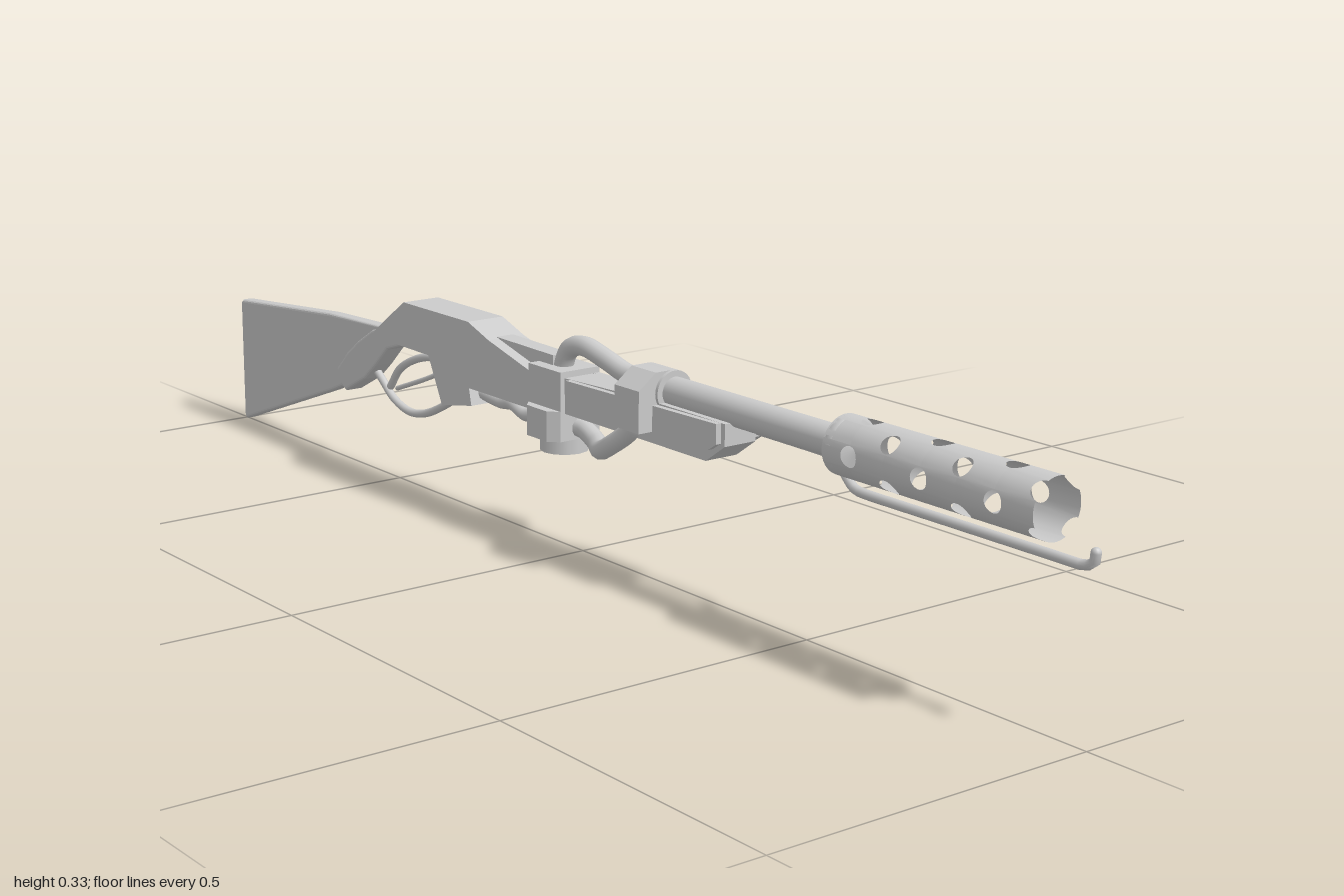
import * as THREE from 'three';

const CX = 0.005, AXIS_Y = 0.285; // barrel axis
const grey = new THREE.MeshStandardMaterial({ color: 0xcccccc });
const thin = new THREE.MeshStandardMaterial({ color: 0xcccccc, side: THREE.DoubleSide });

export function createModel() {
  const model = new THREE.Group();
  const add = (name, geo, mat = grey) => {
    const mesh = new THREE.Mesh(geo, mat);
    mesh.name = name;
    model.add(mesh);
    return mesh;
  };
  // side profile of [z, y] points, extruded from x0 to x1
  const side = (name, pts, x0, x1, bevel = 0) => {
    const shape = new THREE.Shape(pts.map(([z, y]) => new THREE.Vector2(z, y)));
    const geo = new THREE.ExtrudeGeometry(shape, {
      depth: x1 - x0 - 2 * bevel, bevelEnabled: bevel > 0, bevelSize: bevel,
      bevelThickness: bevel, bevelOffset: -bevel, bevelSegments: 3,
    });
    geo.rotateY(-Math.PI / 2).translate(x1 - bevel, 0, 0);
    return add(name, geo);
  };
  // smooth tube through [x, y, z] points
  const tube = (name, pts, r, tension = 0.5) => {
    const curve = new THREE.CatmullRomCurve3(pts.map(p => new THREE.Vector3(...p)), false, 'catmullrom', tension);
    add(name, new THREE.TubeGeometry(curve, 60, r, 12));
    for (const t of [0, 1]) {
      const cap = add(name + 'End', new THREE.SphereGeometry(r, 12, 8));
      cap.position.copy(curve.getPoint(t));
    }
  };
  // lathe round the barrel axis from [radius, z] points
  const turned = (name, pts, mat = grey) => {
    const geo = new THREE.LatheGeometry(pts.map(([r, z]) => new THREE.Vector2(r, z)), 32);
    add(name, geo.rotateX(Math.PI / 2).translate(CX, AXIS_Y, 0), mat);
  };

  // barrel, sleeve and closed rear of the shroud
  turned('barrel', [[0, 0.12], [0.022, 0.12], [0.022, 0.57]]);
  turned('barrelSleeve', [[0.02, 0.147], [0.031, 0.147], [0.031, 0.147], [0.031, 0.208], [0.031, 0.208], [0.02, 0.208]], thin);
  turned('shroudBase', [[0.022, 0.555], [0.036, 0.557], [0.041, 0.563], [0.041, 0.575], [0.036, 0.576], [0, 0.585]], thin);
  add('shroud', shroudGeometry(), thin);

  // pilot pipe under the shroud, bending to the left side of the fore-end
  tube('pilotPipe', [
    [CX, 0.247, 0.994], [CX, 0.234, 0.992], [CX, 0.227, 0.975], [CX, 0.227, 0.93], [CX, 0.227, 0.75],
    [CX, 0.227, 0.6], [0.01, 0.23, 0.57], [0.038, 0.247, 0.51], [0.044, 0.251, 0.48], [0.044, 0.252, 0.3],
  ], 0.0068, 0.3);

  // fore-end with side panels
  side('foreEnd', [[0.35, 0.272], [0.35, 0.24], [0.31, 0.212], [-0.03, 0.212], [-0.03, 0.265], [0.15, 0.272]], -0.022, 0.033);
  side('leftPanel', [[0.342, 0.277], [0.342, 0.243], [0.325, 0.232], [0.19, 0.232], [0.19, 0.277]], 0.03, 0.053);
  side('leftRail', [[0.2, 0.266], [0.2, 0.23], [-0.03, 0.23], [-0.03, 0.266]], 0.03, 0.041);
  side('rightPanel', [[0.342, 0.272], [0.342, 0.243], [0.325, 0.232], [0.0, 0.232], [0.0, 0.266]], -0.031, -0.02);

  // faceted valve block on the right of the sleeve
  const valve = new THREE.Shape([[-0.055, 0.232], [0.0, 0.232], [0.0, 0.316], [-0.025, 0.316], [-0.055, 0.293]]
    .map(p => new THREE.Vector2(...p)));
  add('valveBlock', new THREE.ExtrudeGeometry(valve, { depth: 0.055, bevelEnabled: false }).translate(0, 0, 0.148));

  // hoses
  tube('upperHose', [
    [CX, 0.288, 0.15], [CX, 0.29, 0.1], [CX, 0.302, 0.05], [CX, 0.312, 0.0],
    [CX, 0.304, -0.035], [CX, 0.28, -0.052], [CX, 0.25, -0.055],
  ], 0.015);
  tube('lowerHose', [
    [-0.034, 0.25, 0.175], [-0.036, 0.222, 0.155], [-0.036, 0.195, 0.115], [-0.028, 0.179, 0.08],
    [-0.005, 0.178, 0.04], [CX, 0.186, 0.0], [CX, 0.188, -0.03],
  ], 0.0145);
  tube('rearHose', [
    [CX, 0.2, -0.08], [CX, 0.187, -0.115], [CX, 0.18, -0.15], [CX, 0.19, -0.185],
    [CX, 0.187, -0.215], [CX, 0.192, -0.27],
  ], 0.011);

  // tank housing: chamfered block, side plates and round bottom
  const housing = new THREE.Shape([
    [-0.03, 0.015], [0.038, 0.015], [0.053, 0.03], [0.053, 0.08], [0.038, 0.095], [-0.03, 0.095], [-0.044, 0.08], [-0.044, 0.03],
  ].map(p => new THREE.Vector2(...p)));
  add('housingBlock', new THREE.ExtrudeGeometry(housing, { depth: 0.046, bevelEnabled: false })
    .rotateX(-Math.PI / 2).translate(0, 0.17, 0)).scale.z = 1;
  model.getObjectByName('housingBlock').position.z = 0;
  side('housingBody', [[-0.015, 0.275], [-0.015, 0.17], [-0.095, 0.17], [-0.095, 0.275]], -0.03, 0.042);
  add('tankBottom', new THREE.CylinderGeometry(0.037, 0.037, 0.05, 12).translate(0.007, 0.171, -0.055));

  // receiver, its top ridge and the lower trigger block
  side('receiver', [
    [-0.09, 0.262], [-0.09, 0.205], [-0.265, 0.205], [-0.28, 0.235], [-0.53, 0.238],
    [-0.52, 0.25], [-0.435, 0.309], [-0.255, 0.309], [-0.2, 0.29],
  ], -0.029, 0.036);
  side('topRidge', [[-0.06, 0.29], [-0.06, 0.25], [-0.22, 0.25], [-0.22, 0.292]], -0.01, 0.02);
  side('triggerBlock', [[-0.275, 0.25], [-0.258, 0.175], [-0.34, 0.16], [-0.385, 0.25]], -0.022, 0.032);

  // lever loop, upper bar and trigger
  tube('leverLoop', [
    [CX, 0.205, -0.33], [CX, 0.168, -0.345], [CX, 0.145, -0.38], [CX, 0.124, -0.43], [CX, 0.118, -0.475],
    [CX, 0.13, -0.52], [CX, 0.155, -0.555], [CX, 0.178, -0.585],
  ], 0.0065);
  tube('leverBar', [
    [CX, 0.215, -0.36], [CX, 0.221, -0.4], [CX, 0.21, -0.45], [CX, 0.185, -0.5], [CX, 0.15, -0.53],
  ], 0.0065);
  tube('trigger', [[CX, 0.205, -0.37], [CX, 0.18, -0.43], [CX, 0.15, -0.51]], 0.004);

  // curved grip and flat shoulder stock
  side('grip', [
    [-0.4, 0.265], [-0.4, 0.238], [-0.45, 0.236], [-0.515, 0.215], [-0.55, 0.182], [-0.585, 0.153], [-0.645, 0.122],
    [-0.662, 0.13], [-0.672, 0.155], [-0.64, 0.187], [-0.605, 0.213], [-0.56, 0.24], [-0.515, 0.255],
  ], -0.012, 0.024, 0.005);
  side('stock', [
    [-0.5, 0.25], [-0.56, 0.19], [-0.64, 0.135], [-0.7, 0.11], [-0.995, 0.002],
    [-1, 0.006], [-1, 0.212], [-0.995, 0.217], [-0.7, 0.243],
  ], -0.006, 0.018, 0.005);
  return model;
}

// perforated tube: eight columns of cells with staggered round holes, notched muzzle
function shroudGeometry() {
  const R = 0.041, HOLE = 0.0145, HALF = Math.PI / 8, PITCH = 0.127, Z0 = 0.56, Z1 = 0.93;
  const pos = [], idx = [];
  const patch = (nu, nv, fn) => { // fn gives [angle, z]
    const base = pos.length / 3;
    for (let i = 0; i <= nu; i++) for (let j = 0; j <= nv; j++) {
      const [a, z] = fn(i / nu, j / nv);
      pos.push(CX + R * Math.cos(a), AXIS_Y + R * Math.sin(a), z);
      if (i < nu && j < nv) {
        const p = base + i * (nv + 1) + j, q = p + nv + 1;
        idx.push(p, p + 1, q, q, p + 1, q + 1);
      }
    }
  };
  // hole edge blended out to the cell edge; a span of half a turn makes a notch
  const cell = (a0, zc, lo, hi, span) => patch(span > 4 ? 32 : 16, 3, (u, v) => {
    const t = Math.PI + u * span, c = Math.cos(t), s = Math.sin(t);
    const m = Math.max(Math.abs(c), Math.abs(s));
    const da = THREE.MathUtils.lerp(c * HOLE / R, c / m * HALF, v);
    const dz = THREE.MathUtils.lerp(s * HOLE, s / m * (s < 0 ? zc - lo : hi - zc), v);
    return [a0 + da, zc + dz];
  });
  for (let k = 0; k < 8; k++) {
    const a = k * Math.PI / 4, odd = k % 2;
    if (odd) {
      patch(4, 1, (u, v) => [a + (u * 2 - 1) * HALF, Z0 + v * 0.05]);
      for (let i = 0; i < 2; i++) cell(a, 0.6735 + i * PITCH, 0.61 + i * PITCH, 0.61 + (i + 1) * PITCH, Math.PI * 2);
      cell(a, Z1, 0.864, Z1, Math.PI);
    } else {
      for (let i = 0; i < 3; i++) {
        cell(a, 0.61 + i * PITCH, i ? 0.5465 + i * PITCH : Z0, i < 2 ? 0.6735 + i * PITCH : Z1, Math.PI * 2);
      }
    }
  }
  const geo = new THREE.BufferGeometry();
  geo.setAttribute('position', new THREE.Float32BufferAttribute(pos, 3));
  geo.setIndex(idx);
  geo.computeVertexNormals();
  return geo;
}
